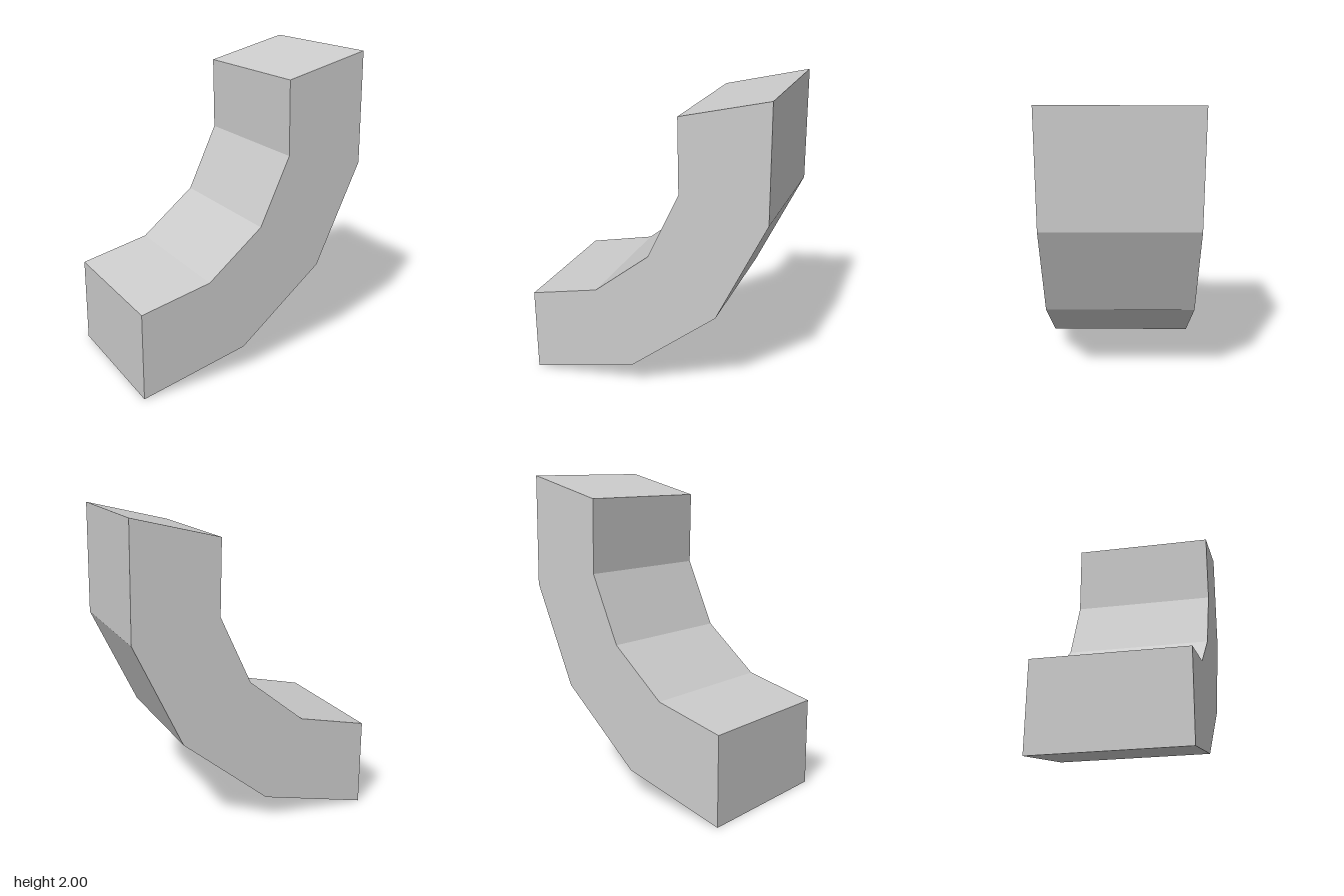
import * as THREE from 'three';

const DEPTH = 0.93;

// Side outline of the bent duct: outer bend going up, inner bend coming back down
const OUTER = [[-0.787, 0], [-0.08, 0.167], [0.48, 0.623], [0.786, 1.278], [0.775, 2]];
const INNER = [[0.227, 1.865], [0.236, 1.395], [0.037, 0.965], [-0.328, 0.67], [-0.787, 0.565]];

export function createModel() {
  const group = new THREE.Group();
  group.name = 'curvedDuct';

  const outline = new THREE.Shape([...OUTER, ...INNER].map(([x, y]) => new THREE.Vector2(x, y)));
  const geometry = new THREE.ExtrudeGeometry(outline, { depth: DEPTH, bevelEnabled: false });
  geometry.translate(0, 0, -DEPTH / 2);

  const material = new THREE.MeshStandardMaterial({ color: 0xcccccc, flatShading: true });
  const bend = new THREE.Mesh(geometry, material);
  bend.name = 'bentSection';
  group.add(bend);

  return group;
}
